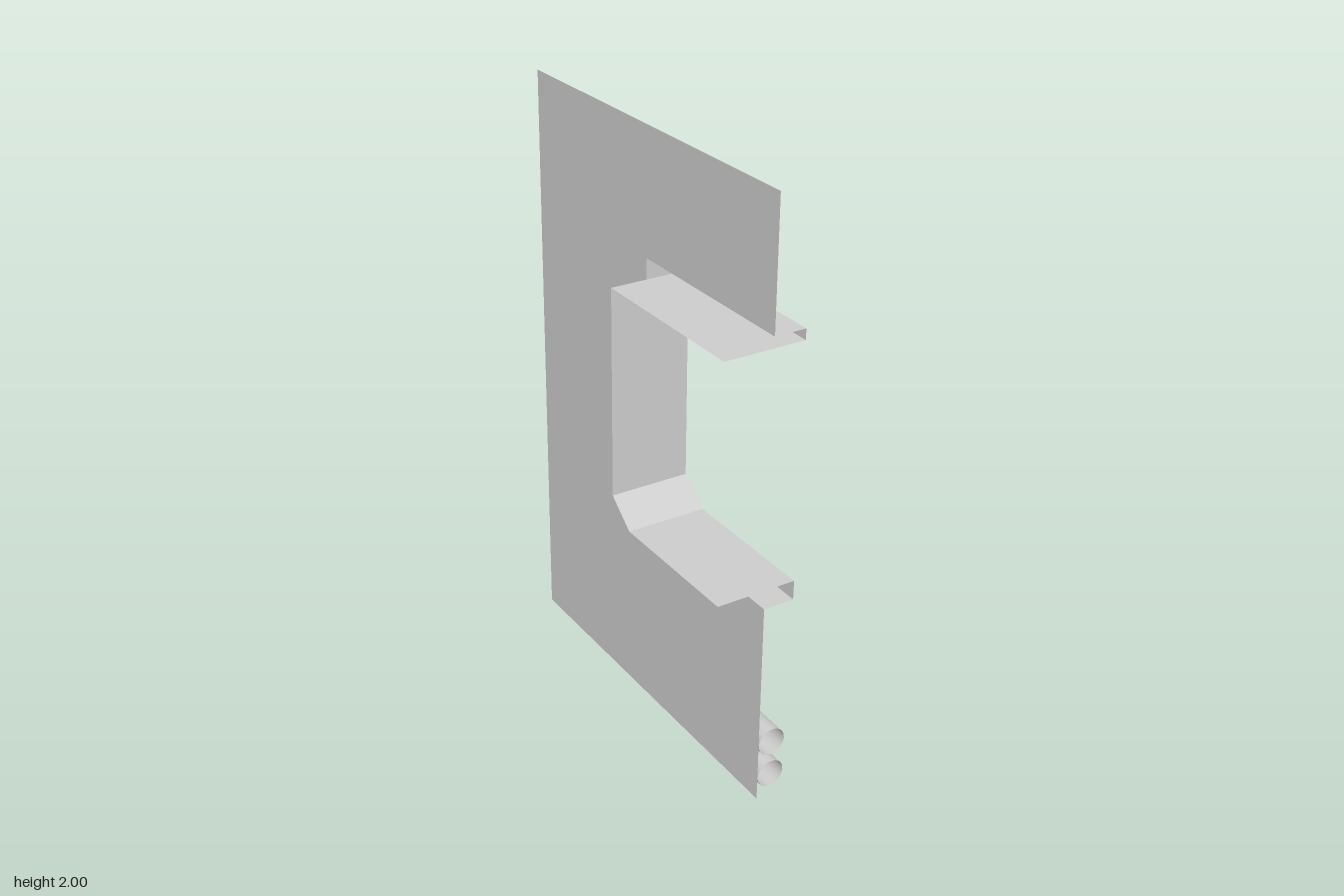
import * as THREE from 'three';

const grey = new THREE.MeshStandardMaterial({ color: 0xcccccc, side: THREE.DoubleSide });
const WALL_X = 0.03, TRIM_X = 0.135, HALF_Z = 0.665;

// Opening contours as [z, y], from the upper front end round to the lower front end
const outer = [[HALF_Z, 1.585], [0, 1.585], [0, 0.845], [0.17, 0.705], [HALF_Z, 0.705]];
const inner = [[HALF_Z, 1.55], [0.07, 1.55], [0.07, 0.85], [0.17, 0.77], [HALF_Z, 0.77]];

function mesh(name, geometry, parent) {
  const m = new THREE.Mesh(geometry, grey);
  m.name = name;
  parent.add(m);
  return m;
}

// Flat facets joining contour a at xa to contour b at xb
function foldedSheet(a, xa, b, xb) {
  const pos = [];
  const put = (x, [z, y]) => pos.push(x, y, z);
  for (let i = 0; i < a.length - 1; i++) {
    put(xa, a[i]); put(xb, b[i]); put(xb, b[i + 1]);
    put(xa, a[i]); put(xb, b[i + 1]); put(xa, a[i + 1]);
  }
  const g = new THREE.BufferGeometry();
  g.setAttribute('position', new THREE.Float32BufferAttribute(pos, 3));
  g.computeVertexNormals();
  return g;
}

export function createModel() {
  const group = new THREE.Group();
  group.name = 'wallPanelWithOpening';

  // Thin wall, cut away along the outer contour
  const outline = [[HALF_Z, 2], ...outer, [HALF_Z, 0], [-HALF_Z, 0], [-HALF_Z, 2]];
  const wall = new THREE.Shape(outline.map(([z, y]) => new THREE.Vector2(-z, y)));
  mesh('wallPanel', new THREE.ShapeGeometry(wall).rotateY(Math.PI / 2).translate(WALL_X, 0, 0), group);

  // Folded trim: outer return, face and deep lining
  const trim = new THREE.Group();
  trim.name = 'openingTrim';
  group.add(trim);
  mesh('trimReturn', foldedSheet(outer, WALL_X, outer, TRIM_X), trim);
  mesh('trimFace', foldedSheet(outer, TRIM_X, inner, TRIM_X), trim);
  mesh('openingLining', foldedSheet(inner, TRIM_X, inner, -TRIM_X), trim);

  // Rounded saddle profile for the clips
  const saddle = new THREE.Shape();
  saddle.moveTo(0.03, -0.052);
  saddle.lineTo(0.09, -0.048);
  saddle.bezierCurveTo(0.118, -0.046, 0.128, -0.025, 0.128, 0);
  saddle.bezierCurveTo(0.128, 0.025, 0.118, 0.046, 0.09, 0.048);
  saddle.lineTo(0.03, 0.052);
  saddle.closePath();

  // Two open pipes, each held by a clip at the back end
  for (const [name, y] of [['lower', 0.08], ['upper', 0.202]]) {
    const pipe = new THREE.CylinderGeometry(0.047, 0.047, 2 * HALF_Z, 32, 1, true);
    mesh(name + 'Pipe', pipe.rotateX(Math.PI / 2).translate(0.078, y, 0), group);
    const clip = new THREE.ExtrudeGeometry(saddle, { depth: 0.033, bevelEnabled: false, curveSegments: 10 });
    mesh(name + 'Clip', clip.translate(0, y, -HALF_Z), group);
  }

  // Thin backing strip of the clips
  mesh('clipPlate', new THREE.BoxGeometry(0.006, 0.26, 0.033).translate(0.034, 0.14, -HALF_Z + 0.0165), group);

  return group;
}
